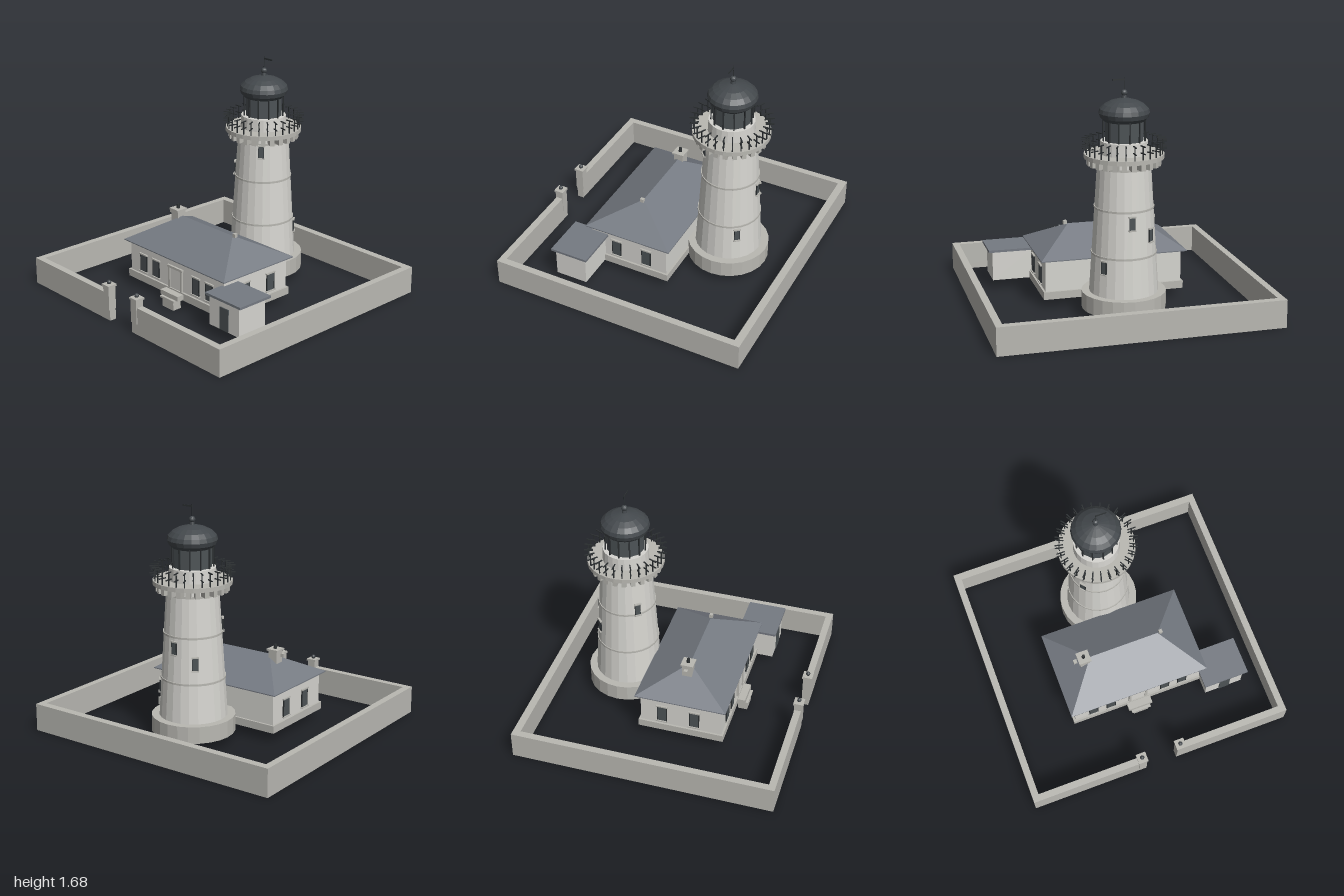
import * as THREE from 'three';
import { ConvexGeometry } from 'three/addons/geometries/ConvexGeometry.js';

const mat = (name, color) => {
  const m = new THREE.MeshStandardMaterial({ color });
  m.name = name;
  return m;
};

export function createModel() {
  const stone = mat('stone', 0xb9b8b2);
  const plaster = mat('plaster', 0xd6d5d0);
  const slate = mat('slate', 0x757a82);
  const iron = mat('iron', 0x2c3032);
  const domeMetal = mat('domeMetal', 0x43484c);
  const glass = mat('glass', 0x4d5356);

  const model = new THREE.Group();
  model.name = 'lighthouseStation';

  const add = (parent, name, geo, material, x = 0, y = 0, z = 0) => {
    const m = new THREE.Mesh(geo, material);
    m.name = name;
    m.position.set(x, y, z);
    parent.add(m);
    return m;
  };
  const group = (name, parent = model, x = 0, y = 0, z = 0) => {
    const g = new THREE.Group();
    g.name = name;
    g.position.set(x, y, z);
    parent.add(g);
    return g;
  };
  // Box given by its extents on each axis
  const box = (parent, name, material, x0, x1, y0, y1, z0, z1) =>
    add(parent, name, new THREE.BoxGeometry(x1 - x0, y1 - y0, z1 - z0), material,
      (x0 + x1) / 2, (y0 + y1) / 2, (z0 + z1) / 2);
  // Faceted shading baked into the geometry
  const flat = (geo) => {
    const g = geo.toNonIndexed();
    g.computeVertexNormals();
    return g;
  };
  const drum = (parent, name, material, rTop, rBottom, y0, y1, sides = 24) =>
    add(parent, name, flat(new THREE.CylinderGeometry(rTop, rBottom, y1 - y0, sides)), material, 0, (y0 + y1) / 2, 0);

  // Perimeter wall with a gate gap at the front
  const wall = group('perimeterWall');
  box(wall, 'backWall', stone, -1, 1, 0, 0.2, -0.96, -0.905);
  for (const s of [-1, 1]) {
    add(wall, 'sideWall', new THREE.BoxGeometry(0.05, 0.2, 1.8), stone, s * 0.975, 0.1, -0.005);
    add(wall, 'frontWall', new THREE.BoxGeometry(0.88, 0.2, 0.05), stone, s * 0.56, 0.1, 0.92);
    const post = group('gatePost', wall, s * 0.15, 0, 0.922);
    box(post, 'postShaft', stone, -0.03, 0.03, 0.08, 0.25, -0.03, 0.03);
    box(post, 'postCap', stone, -0.037, 0.037, 0.25, 0.265, -0.037, 0.037);
    add(post, 'postBall', flat(new THREE.SphereGeometry(0.016, 10, 8)), domeMetal, 0, 0.278, 0);
  }

  // House on an open foundation ring
  const house = group('house');
  box(house, 'houseWalls', plaster, -0.5, 0.5, 0.12, 0.36, -0.16, 0.44);
  for (const s of [-1, 1]) {
    add(house, 'foundationSide', new THREE.BoxGeometry(0.04, 0.055, 0.63), stone, s * 0.495, 0.0975, 0.14);
    add(house, 'foundationLength', new THREE.BoxGeometry(0.95, 0.055, 0.04), stone, 0, 0.0975, 0.14 + s * 0.295);
  }
  const roofPoints = [];
  for (const x of [-1, 1]) {
    roofPoints.push(new THREE.Vector3(x * 0.265, 0.53, 0.14));
    for (const z of [-0.195, 0.475])
      for (const y of [0.353, 0.36]) roofPoints.push(new THREE.Vector3(x * 0.535, y, z));
  }
  add(house, 'hipRoof', new ConvexGeometry(roofPoints), slate);
  for (const x of [-0.38, 0.288])
    add(house, 'ridgeFinial', new THREE.BoxGeometry(0.026, 0.026, 0.026), stone, x, 0.54, 0.14);

  // Chimney
  const chimney = group('chimney', house, -0.315, 0, 0.14);
  box(chimney, 'stack', stone, -0.036, 0.036, 0.44, 0.565, -0.036, 0.036);
  box(chimney, 'stackCap', stone, -0.046, 0.046, 0.565, 0.578, -0.046, 0.046);
  drum(chimney, 'chimneyPot', iron, 0.011, 0.013, 0.578, 0.61, 10);

  // Sash window facing +z, origin at its centre on the wall
  const windowUnit = (parent, w, h, x, y, z, turn) => {
    const g = group('window', parent, x, y, z);
    g.rotation.y = turn;
    add(g, 'pane', new THREE.BoxGeometry(w, h, 0.008), glass, 0, 0, 0.004);
    for (const s of [-1, 1])
      add(g, 'jamb', new THREE.BoxGeometry(w * 0.08, h, 0.009), iron, s * w * 0.48, 0, 0.0045);
    add(g, 'lintel', new THREE.BoxGeometry(w * 1.25, 0.01, 0.014), stone, 0, h / 2 + 0.005, 0.006);
    add(g, 'sill', new THREE.BoxGeometry(w * 1.25, 0.008, 0.018), stone, 0, -h / 2 - 0.004, 0.008);
    return g;
  };
  for (const s of [-1, 1]) {
    for (const x of [0.215, 0.353]) windowUnit(house, 0.068, 0.125, s * x, 0.215, 0.44, 0);
    for (const z of [0.24, 0]) windowUnit(house, 0.07, 0.125, s * 0.5, 0.215, z, s * Math.PI / 2);
  }

  // Door and steps
  box(house, 'doorLeaf', plaster, -0.056, 0.056, 0.12, 0.28, 0.44, 0.446);
  for (const s of [-1, 1])
    add(house, 'doorJamb', new THREE.BoxGeometry(0.018, 0.17, 0.014), stone, s * 0.064, 0.205, 0.446);
  box(house, 'doorHead', stone, -0.08, 0.08, 0.28, 0.297, 0.44, 0.456);
  box(house, 'upperStep', stone, -0.093, 0.093, 0.08, 0.115, 0.44, 0.51);
  box(house, 'lowerStep', stone, -0.075, 0.075, 0.065, 0.08, 0.44, 0.53);
  box(house, 'stepFooting', stone, -0.058, 0.058, 0, 0.065, 0.45, 0.52);

  // Side shed with a flat roof
  const shed = group('shed');
  box(shed, 'shedWalls', plaster, 0.5, 0.79, 0.075, 0.295, 0.335, 0.575);
  box(shed, 'shedRoof', slate, 0.478, 0.82, 0.295, 0.312, 0.31, 0.595);
  box(shed, 'shedDoor', glass, 0.608, 0.69, 0.08, 0.245, 0.575, 0.582);

  // Tower
  const tower = group('tower', model, 0, 0, -0.415);
  drum(tower, 'towerBase', stone, 0.295, 0.295, 0.07, 0.19);
  drum(tower, 'towerShaft', plaster, 0.182, 0.241, 0.19, 1.13);
  for (const [y, r] of [[0.468, 0.229], [0.792, 0.209], [1.075, 0.192]])
    drum(tower, 'stringCourse', stone, r, r, y - 0.007, y + 0.007);

  // Tower windows climb around the shaft: [angle from front in degrees, height]
  for (const [deg, y] of [[129, 0.4], [221, 0.615], [180, 0.715], [-50, 0.835], [41, 1.02]]) {
    const a = deg * Math.PI / 180;
    const r = 0.241 - (y - 0.19) * 0.0628;
    windowUnit(tower, 0.04, 0.085, Math.sin(a) * r, y, Math.cos(a) * r, a);
  }

  // Gallery: corbels, deck and balustrade
  const gallery = group('gallery', tower);
  drum(gallery, 'galleryDeck', stone, 0.275, 0.275, 1.132, 1.162, 28);
  const ring = (count, fn) => {
    for (let i = 0; i < count; i++) {
      const spoke = group('gallerySpoke', gallery);
      spoke.rotation.y = (i / count) * Math.PI * 2;
      fn(spoke);
    }
  };
  ring(24, (g) => add(g, 'corbel', new THREE.BoxGeometry(0.032, 0.048, 0.085), stone, 0, 1.108, 0.212));
  ring(28, (g) => {
    add(g, 'railPost', new THREE.BoxGeometry(0.007, 0.098, 0.007), iron, 0, 1.21, 0.262);
    for (const y of [1.207, 1.256])
      add(g, 'railBar', new THREE.BoxGeometry(0.007, 0.007, 0.06), iron, 0, y, 0.262);
  });

  // Lantern room with glazing bars
  const lantern = group('lantern', tower);
  drum(lantern, 'lanternPlinth', plaster, 0.162, 0.166, 1.162, 1.25);
  drum(lantern, 'lanternGlass', glass, 0.133, 0.133, 1.25, 1.4, 12);
  for (let i = 0; i < 12; i++) {
    const a = (i / 12) * Math.PI * 2;
    add(lantern, 'glazingBar', new THREE.BoxGeometry(0.009, 0.155, 0.009), iron,
      Math.sin(a) * 0.145, 1.327, Math.cos(a) * 0.145).rotation.y = a;
  }

  // Dome, ball and flag
  const profile = [[0, 1.385], [0.14, 1.385], [0.165, 1.41], [0.175, 1.44], [0.167, 1.468],
    [0.138, 1.497], [0.095, 1.52], [0.04, 1.535], [0.018, 1.54], [0.014, 1.565], [0, 1.565]];
  add(lantern, 'dome', flat(new THREE.LatheGeometry(profile.map(([r, y]) => new THREE.Vector2(r, y)), 20)), domeMetal);
  add(lantern, 'domeBall', flat(new THREE.SphereGeometry(0.022, 12, 8)), domeMetal, 0, 1.575, 0);
  drum(lantern, 'mast', iron, 0.002, 0.003, 1.59, 1.68, 6);
  box(lantern, 'weatherVane', iron, 0, 0.08, 1.658, 1.67, -0.002, 0.002);

  return model;
}
